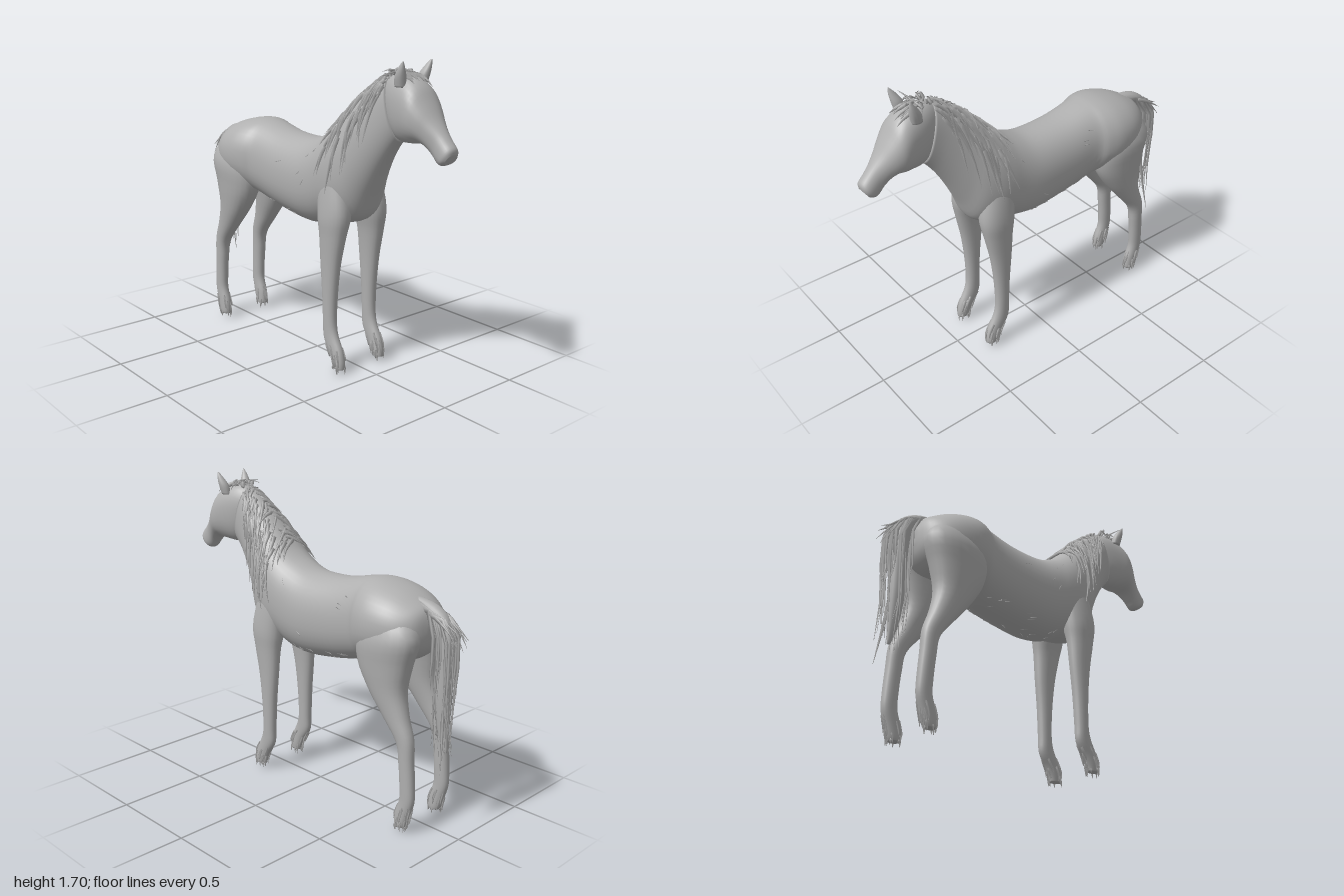
import * as THREE from 'three';
import { mergeGeometries } from 'three/addons/utils/BufferGeometryUtils.js';

const coat = new THREE.MeshStandardMaterial({ color: 0xb0b0b0 });
coat.name = 'greyCoat';

let seed = 7;
const rnd = (a = 0, b = 1) => {
  seed = (seed * 16807) % 2147483647;
  return a + (b - a) * (seed / 2147483647);
};

// Cross-sections: [topZ, topY, bottomZ, bottomY, halfWidth, centreX]
const BODY = [
  [-.785, 1.13, -.785, 1.05, .03, 0], [-.76, 1.19, -.765, .98, .12, 0],
  [-.70, 1.23, -.71, .92, .185, 0], [-.62, 1.265, -.62, .90, .222, 0],
  [-.52, 1.29, -.52, .88, .232, 0], [-.44, 1.295, -.43, .86, .212, 0],
  [-.37, 1.285, -.36, .835, .183, 0], [-.20, 1.25, -.20, .80, .18, 0],
  [0, 1.245, 0, .775, .185, 0], [.12, 1.28, .12, .785, .185, 0],
  [.20, 1.325, .20, .81, .187, 0], [.25, 1.37, .30, .825, .185, 0],
  [.31, 1.43, .40, .87, .167, 0], [.38, 1.50, .46, 1.0, .135, 0],
  [.45, 1.555, .53, 1.14, .107, 0], [.52, 1.605, .60, 1.25, .088, 0],
  [.58, 1.63, .66, 1.32, .08, 0],
];
const HEAD = [
  [.54, 1.60, .62, 1.34, .06, 0], [.62, 1.645, .67, 1.315, .086, 0],
  [.72, 1.64, .73, 1.315, .105, 0], [.79, 1.60, .78, 1.32, .113, 0],
  [.84, 1.53, .815, 1.325, .10, 0], [.89, 1.455, .85, 1.31, .075, 0],
  [.935, 1.40, .885, 1.275, .055, 0], [.97, 1.36, .91, 1.245, .05, 0],
  [1.0, 1.325, .935, 1.235, .048, 0], [1.0, 1.295, .965, 1.245, .036, 0],
];
// Leg sections run downwards: front edge first, then back edge
const FRONT_LEG = [
  [.33, 1.26, .21, 1.26, .05, .085], [.365, 1.07, .18, 1.07, .07, .107],
  [.395, .90, .19, .88, .073, .125],
  [.375, .77, .205, .77, .056, .135], [.345, .62, .215, .62, .044, .139],
  [.325, .45, .23, .45, .037, .141], [.32, .30, .238, .28, .033, .142],
  [.335, .22, .243, .19, .031, .142], [.375, .14, .285, .12, .030, .142],
  [.39, .08, .31, .07, .029, .142], [.39, .04, .32, .04, .025, .142],
];
const HIND_LEG = [
  [-.51, 1.22, -.69, 1.20, .06, .085], [-.42, 1.04, -.78, 1.06, .113, .115],
  [-.425, .89, -.75, .91, .098, .125], [-.50, .755, -.725, .77, .077, .13],
  [-.60, .63, -.75, .645, .056, .135], [-.695, .51, -.79, .53, .042, .138],
  [-.715, .40, -.80, .41, .036, .14], [-.725, .28, -.81, .27, .033, .14],
  [-.725, .20, -.81, .19, .031, .14], [-.70, .12, -.79, .12, .031, .14],
  [-.695, .06, -.77, .06, .030, .14], [-.70, .04, -.76, .04, .026, .14],
];
// Tail and ears run tip to root and root to tip
const TAIL = [
  [-.90, .46, -.88, .46, .006, 0], [-.905, .58, -.84, .58, .022, 0],
  [-.91, .75, -.82, .75, .038, 0], [-.91, .95, -.82, .95, .042, 0],
  [-.89, 1.13, -.80, 1.07, .042, 0], [-.80, 1.21, -.775, 1.14, .042, 0],
  [-.66, 1.24, -.70, 1.17, .03, 0],
];
const EAR = [
  [.675, 1.59, .735, 1.59, .022, .072], [.685, 1.64, .745, 1.64, .026, .08],
  [.715, 1.685, .75, 1.68, .016, .09], [.743, 1.715, .75, 1.715, .003, .096],
];

// Smooth interpolation between sections
function section(s, t) {
  const i = Math.min(Math.floor(t), s.length - 2), f = t - i;
  const at = k => s[Math.max(0, Math.min(s.length - 1, k))];
  const [a, b, c, d] = [at(i - 1), at(i), at(i + 1), at(i + 2)];
  return b.map((v, k) => v + .5 * f * (c[k] - a[k]
    + f * (2 * a[k] - 5 * v + 4 * c[k] - d[k] + f * (3 * (v - c[k]) + d[k] - a[k]))));
}

// Point on a lofted surface, lifted outwards by off
function surface(s, t, ang, off = 0) {
  const [zt, yt, zb, yb, w, cx] = section(s, t);
  const round = v => Math.sign(v) * Math.abs(v) ** .9;
  const c = round(Math.cos(ang)), q = round(Math.sin(ang));
  const k = q * (.5 + off / (Math.hypot(zt - zb, yt - yb) || 1));
  return new THREE.Vector3(cx + (w + off) * c, (yt + yb) / 2 + k * (yt - yb), (zt + zb) / 2 + k * (zt - zb));
}

// Closed skin over rings of points
function skin(rings) {
  const n = rings[0].length, m = rings.length, pos = [], idx = [];
  rings.forEach(r => r.forEach(p => pos.push(p.x, p.y, p.z)));
  for (const r of [rings[0], rings[m - 1]]) {
    const c = r.reduce((a, p) => a.add(p), new THREE.Vector3()).divideScalar(n);
    pos.push(c.x, c.y, c.z);
  }
  for (let j = 0; j < n; j++) {
    const k = (j + 1) % n, e = (m - 1) * n;
    for (let i = 0; i < m - 1; i++) {
      const a = i * n + j, b = i * n + k;
      idx.push(a, b, a + n, b, b + n, a + n);
    }
    idx.push(m * n, k, j, m * n + 1, e + j, e + k);
  }
  const g = new THREE.BufferGeometry();
  g.setAttribute('position', new THREE.Float32BufferAttribute(pos, 3));
  g.setIndex(idx);
  g.computeVertexNormals();
  return g;
}

function loft(s, sides, side = 1) {
  const steps = 4, src = s.map(r => [...r.slice(0, 5), r[5] * side]);
  const rings = [];
  for (let i = 0; i <= (s.length - 1) * steps; i++)
    rings.push(Array.from({ length: sides }, (_, j) => surface(src, i / steps, j / sides * Math.PI * 2)));
  return skin(rings);
}

// Tapered lock of hair along a few points
function strand(points, r) {
  const curve = new THREE.CatmullRomCurve3(points), rings = [], n = 5;
  for (let i = 0; i <= n; i++) {
    const t = i / n, p = curve.getPoint(t), d = curve.getTangent(t);
    const u = new THREE.Vector3(.5, .1, .85).cross(d).normalize(), v = d.clone().cross(u);
    const w = r * (1 - .92 * t ** 1.5);
    rings.push([0, 1, 2].map(k => p.clone()
      .addScaledVector(u, w * Math.cos(k * 2.0944)).addScaledVector(v, w * Math.sin(k * 2.0944))));
  }
  return skin(rings);
}

const V = (x, y, z) => new THREE.Vector3(x, y, z);

export function createModel() {
  const group = new THREE.Group();
  const add = (name, geo) => {
    const m = new THREE.Mesh(geo, coat);
    m.name = name;
    group.add(m);
  };
  const hair = (name, count, make) => add(name, mergeGeometries(Array.from({ length: count }, (_, i) => make(i))));

  add('bodyAndNeck', loft(BODY, 40));
  add('head', loft(HEAD, 32));
  for (const side of [1, -1]) {
    const label = side > 0 ? 'left' : 'right';
    add(label + 'FrontLeg', loft(FRONT_LEG, 24, side));
    add(label + 'HindLeg', loft(HIND_LEG, 24, side));
    add(label + 'Ear', loft(EAR, 12, side));
  }

  // Mane locks fall along the neck and sweep backwards
  hair('mane', 150, i => {
    const side = i % 2 ? 1 : -1, t = rnd(11, 16), b = rnd(-.15, 1.15), len = rnd(.35, .8), back = rnd(.2, 1.5);
    const lift = rnd(.008, .022);
    const pts = [0, .33, .66, 1].map(f => surface(BODY, t - back * f,
      Math.PI / 2 - side * (b + len * f), lift * (.2 + f * .8)));
    return strand(pts, rnd(.009, .015));
  });

  // Forelock on the brow and the loose tuft on the poll
  hair('forelock', 14, () => {
    const t = rnd(1.4, 2), a = Math.PI / 2 + rnd(-.4, .4), len = rnd(.7, 1.3);
    return strand([0, .5, 1].map(f => surface(HEAD, t + len * f, a, .006 + .006 * f)), rnd(.010, .015));
  });
  hair('pollTuft', 14, () => {
    const x = rnd(-.04, .04), z = rnd(.58, .68), out = rnd(-.08, .08);
    return strand([V(x, 1.635, z), V(x + out * .4, 1.665, z + .01),
      V(x + out, rnd(1.61, 1.66), z + rnd(-.05, .05))], rnd(.009, .013));
  });
  add('pollStray', strand([V(.06, 1.645, .66), V(-.02, 1.66, .67), V(-.145, 1.655, .67)], .011));

  // Tail
  add('tailCore', loft(TAIL, 14));
  hair('tailHair', 60, () => {
    const x = rnd(-.055, .055), z = -rnd(.81, .92), end = rnd(.42, .85);
    return strand([V(x * .5, rnd(1.18, 1.215), rnd(-.74, -.68)), V(x * .8, 1.18 - Math.abs(z + .8) * .4, z + .02),
      V(x, rnd(.95, 1.05), z - .01), V(x + rnd(-.01, .01), (1 + end) / 2, z), V(x * .6, end, z + rnd(-.04, .02))], rnd(.010, .015));
  });
  hair('tailFlyaway', 14, () => {
    const x = rnd(-.05, .05);
    return strand([V(x, 1.18, -.8), V(x * 1.2, 1.14, -.88), V(x * 1.4, rnd(.98, 1.1), rnd(-.985, -.93))], .012);
  });
  add('tailStray', strand([V(.02, .75, -.88), V(.045, .55, -.9), V(.075, .37, -.92)], .012));

  // Ragged feathering around each foot
  for (const [name, s] of [['FrontFeather', FRONT_LEG], ['HindFeather', HIND_LEG]])
    for (const side of [1, -1])
      hair((side > 0 ? 'left' : 'right') + name, 22, () => {
        const a = rnd(0, Math.PI * 2), t = s.length - 1 - rnd(.2, 2.8);
        const p = surface(s, t, a, -.002), q = surface(s, Math.min(t + .9, s.length - 1), a, .004);
        const tip = q.clone().setY(Math.max(.012, q.y - rnd(.01, .035)));
        [p, q, tip].forEach(v => { v.x *= side; });
        return strand([p, q, tip], rnd(.006, .010));
      });

  // Sparse hairs on belly and flanks
  hair('bodyHair', 36, i => {
    const side = i % 2 ? 1 : -1, low = i < 26, t = rnd(6.2, 9.6);
    const a = Math.PI / 2 - side * (low ? rnd(2.3, 3.1) : rnd(.8, 2.0));
    return strand([0, .5, 1].map(f => surface(BODY, t - .25 * f, a - side * .1 * f, -.003 + .006 * f)), .004);
  });
  return group;
}
